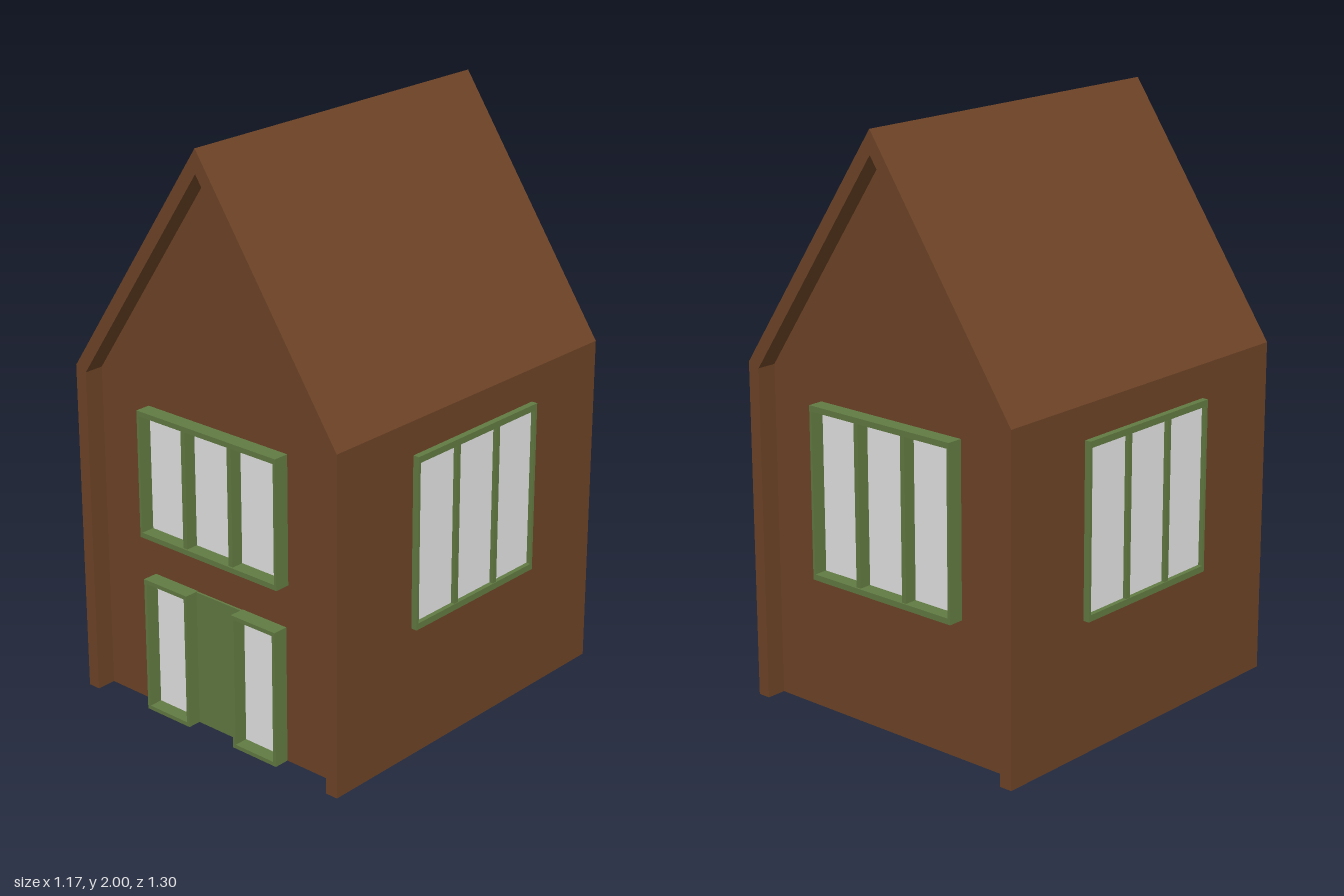
import * as THREE from 'three';

const brown = new THREE.MeshStandardMaterial({ color: 0x6e4427 });
brown.name = 'brown cladding';
const green = new THREE.MeshStandardMaterial({ color: 0x627b42 });
green.name = 'green frame';
const glass = new THREE.MeshStandardMaterial({ color: 0xe6e6e6 });
glass.name = 'pale glass';

const HALF_DEPTH = 0.65, HALF_WIDTH = 0.565, RECESS = 0.07;

// Box given by its limits on each axis
function block(name, material, x0, x1, y0, y1, z0, z1) {
  const mesh = new THREE.Mesh(new THREE.BoxGeometry(x1 - x0, y1 - y0, z1 - z0), material);
  mesh.position.set((x0 + x1) / 2, (y0 + y1) / 2, (z0 + z1) / 2);
  mesh.name = name;
  return mesh;
}

// Outline in x and y extruded along z, centred on z = 0
function prism(name, points, halfDepth) {
  const shape = new THREE.Shape(points.map(([x, y]) => new THREE.Vector2(x, y)));
  const geometry = new THREE.ExtrudeGeometry(shape, { depth: halfDepth * 2, bevelEnabled: false });
  geometry.translate(0, 0, -halfDepth);
  const mesh = new THREE.Mesh(geometry, brown);
  mesh.name = name;
  return mesh;
}

// Framed window on the plane z = 0, facing +z
function makeWindow(name, x0, x1, y0, y1, panes, depth, rail, post = 0.01, mullion = 0.018) {
  const group = new THREE.Group();
  group.name = name;
  group.add(block('bottomRail', green, x0, x1, y0, y0 + rail, 0, depth));
  group.add(block('topRail', green, x0, x1, y1 - rail, y1, 0, depth));
  const low = y0 + rail, high = y1 - rail;
  group.add(block('leftPost', green, x0, x0 + post, low, high, 0, depth));
  group.add(block('rightPost', green, x1 - post, x1, low, high, 0, depth));
  for (let i = 1; i < panes; i++) {
    const x = x0 + (x1 - x0) * i / panes;
    group.add(block('mullion', green, x - mullion / 2, x + mullion / 2, low, high, 0, depth * 0.9));
  }
  group.add(block('glass', glass, x0 + post, x1 - post, low, high, 0, 0.006));
  return group;
}

export function createModel() {
  const house = new THREE.Group();
  house.name = 'house';

  // Walls and roof in one wrap, projecting past both gables
  const outer = [[HALF_WIDTH, 0], [HALF_WIDTH, 1.17], [0, 2], [-HALF_WIDTH, 1.17], [-HALF_WIDTH, 0]];
  const inner = [[-0.52, 0], [-0.52, 1.155], [0, 1.92], [0.52, 1.155], [0.52, 0]];
  house.add(prism('wallsAndRoof', [...outer, ...inner], HALF_DEPTH));
  house.add(prism('gableBody', [...inner].reverse(), HALF_DEPTH - RECESS));

  // Front: upper window, two sidelights and a flat door
  const front = new THREE.Group();
  front.name = 'frontOpenings';
  front.position.z = HALF_DEPTH - RECESS;
  front.add(makeWindow('frontWindow', -0.305, 0.3, 0.63, 1.075, 3, 0.055, 0.018));
  front.add(makeWindow('rightSidelight', -0.295, -0.1, 0, 0.48, 1, 0.055, 0.014, 0.012));
  front.add(makeWindow('leftSidelight', 0.1, 0.29, 0, 0.48, 1, 0.055, 0.014, 0.012));
  front.add(block('door', green, -0.1, 0.1, 0, 0.478, 0, 0.008));
  house.add(front);

  // Back window
  const back = makeWindow('backWindow', -0.305, 0.3, 0.475, 1.07, 3, 0.055, 0.02);
  back.position.z = RECESS - HALF_DEPTH;
  back.rotation.y = Math.PI;
  house.add(back);

  // Side windows
  for (const side of [1, -1]) {
    const shift = 0.005 * side;
    const window = makeWindow(side > 0 ? 'leftWindow' : 'rightWindow',
      -0.3 + shift, 0.3 + shift, 0.46, 1.055, 3, 0.022, 0.022);
    window.position.x = side * HALF_WIDTH;
    window.rotation.y = side * Math.PI / 2;
    house.add(window);
  }
  return house;
}
